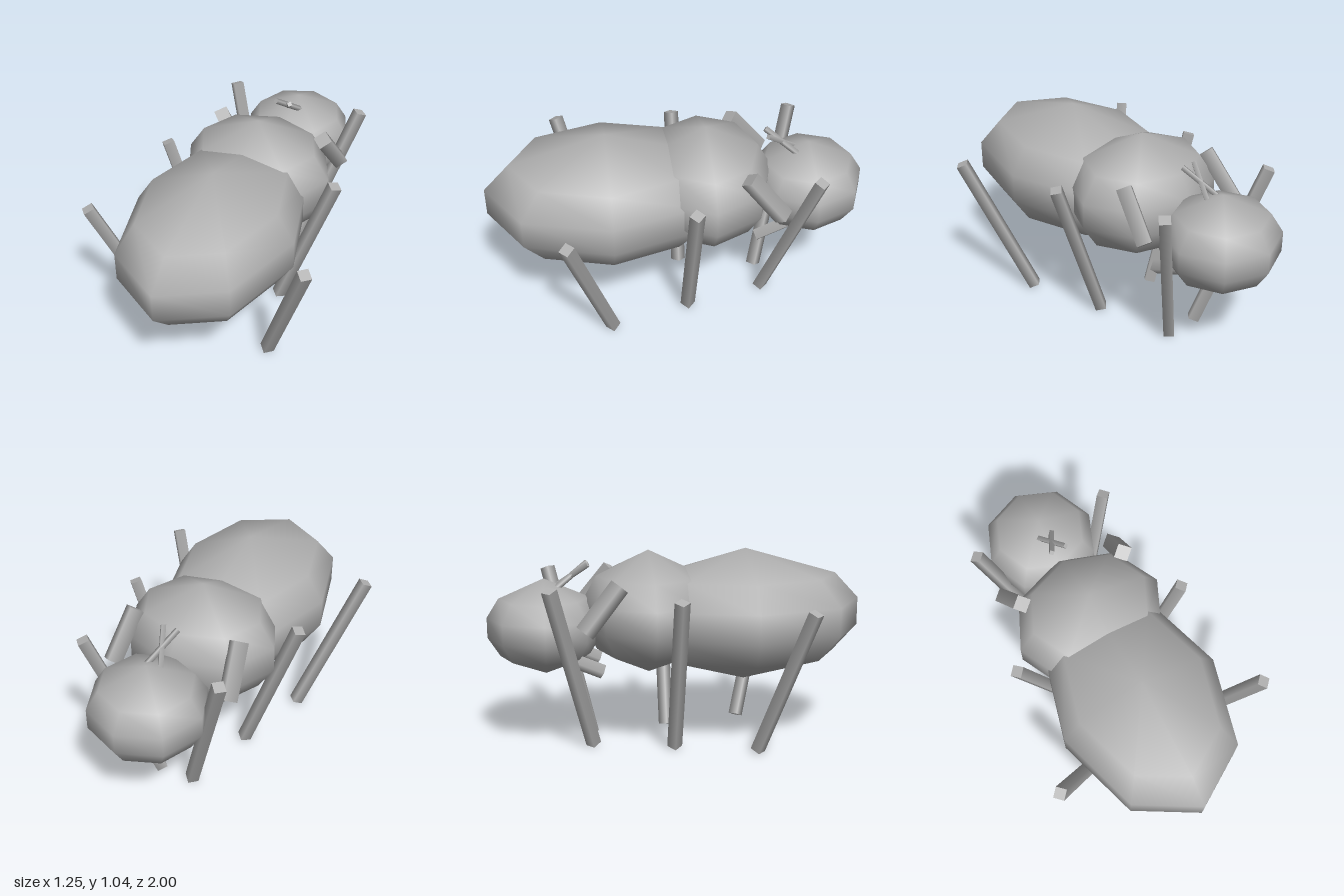
import * as THREE from 'three';
import { mergeVertices } from 'three/addons/utils/BufferGeometryUtils.js';

const shell = new THREE.MeshStandardMaterial({ color: 0xb0b0b0 });
shell.name = 'shell grey';

// Eight-sided faceted body segment with pointed poles and smooth normals
function bodySegment(name, center, radii) {
  const profile = [[0, -1], [0.79, -0.6], [1, -0.21], [1, 0.21], [0.79, 0.6], [0, 1]];
  let geo = new THREE.LatheGeometry(profile.map(([r, y]) => new THREE.Vector2(r, y)), 8);
  geo.scale(...radii);
  geo.deleteAttribute('normal');
  geo.deleteAttribute('uv');
  geo = mergeVertices(geo, 1e-4);
  geo.computeVertexNormals();
  const mesh = new THREE.Mesh(geo, shell);
  mesh.name = name;
  mesh.position.set(...center);
  return mesh;
}

// Four-sided rod between two points
function rod(name, from, to, radius) {
  const a = new THREE.Vector3(...from);
  const b = new THREE.Vector3(...to);
  const dir = b.clone().sub(a);
  const mesh = new THREE.Mesh(new THREE.CylinderGeometry(radius, radius, dir.length(), 4), shell);
  mesh.name = name;
  mesh.position.copy(a).add(b).multiplyScalar(0.5);
  mesh.quaternion.setFromUnitVectors(new THREE.Vector3(0, 1, 0), dir.normalize());
  return mesh;
}

export function createModel() {
  const model = new THREE.Group();
  model.name = 'insect';

  model.add(
    bodySegment('abdomen', [0, 0.682, 0.37], [0.434, 0.358, 0.63]),
    bodySegment('thorax', [0, 0.71, -0.15], [0.405, 0.33, 0.35]),
    bodySegment('head', [0, 0.645, -0.7], [0.3, 0.255, 0.3])
  );

  // Paired limbs: name, lower end, upper end, radius
  const limbs = [
    ['frontLeg', [0.31, 0.015, 0.39], [0.585, 0.795, 0.605], 0.04],
    ['middleLeg', [0.19, 0.015, -0.035], [0.48, 0.845, -0.035], 0.04],
    ['rearLeg', [0.095, 0.015, -0.46], [0.375, 0.9, -0.675], 0.04],
    ['shoulder', [0.33, 0.675, -0.505], [0.295, 0.9, -0.325], 0.052],
    ['antenna', [0.04, 0.85, -0.64], [-0.04, 0.975, -0.47], 0.016],
    ['mandible', [0.15, 0.5, -0.58], [0.15, 0.425, -0.405], 0.038],
  ];
  for (const [name, low, high, radius] of limbs) {
    for (const [side, s] of [['Left', 1], ['Right', -1]]) {
      model.add(rod(name + side, [low[0] * s, low[1], low[2]], [high[0] * s, high[1], high[2]], radius));
    }
  }
  return model;
}
